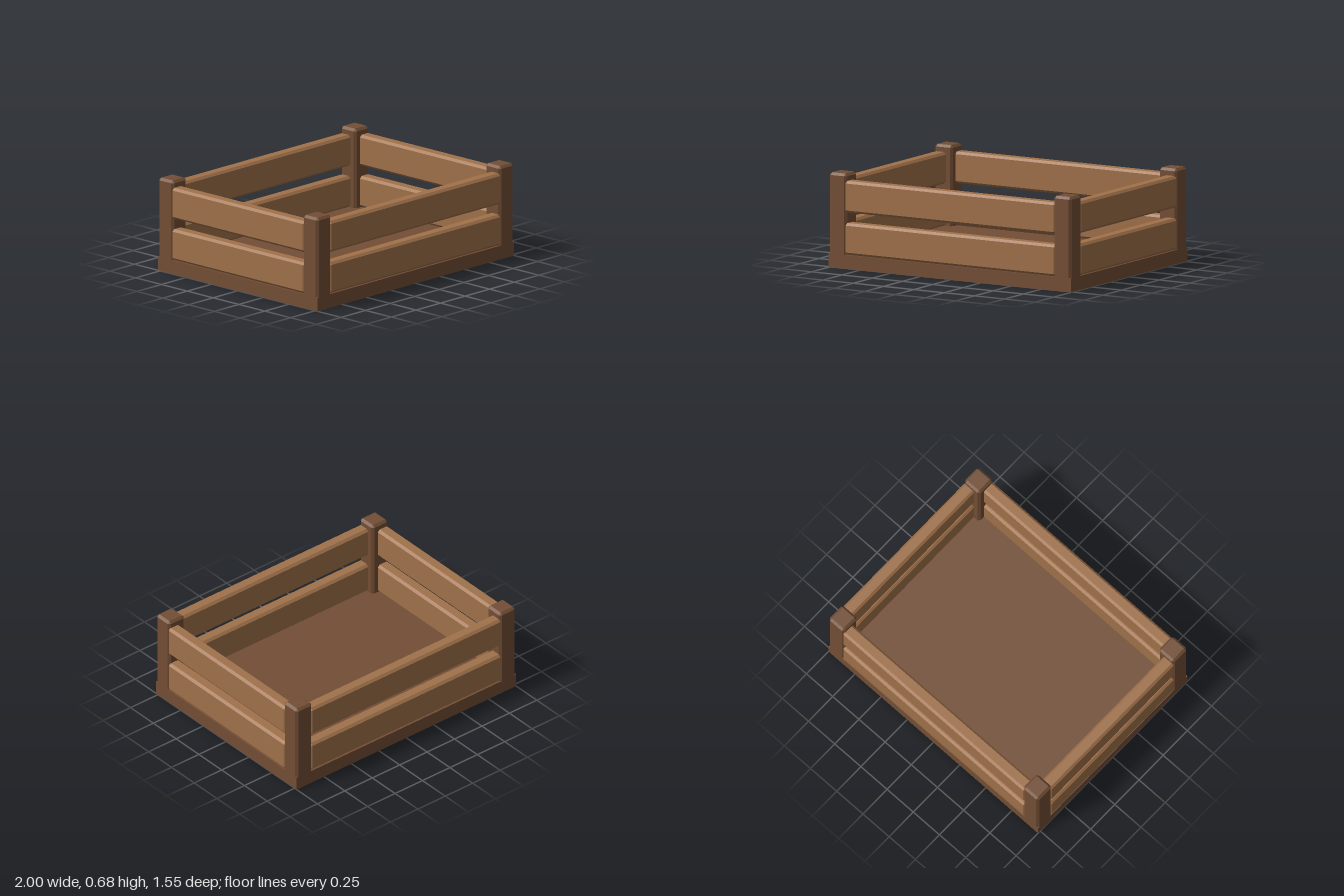
import * as THREE from 'three';
import { ConvexGeometry } from 'three/addons/geometries/ConvexGeometry.js';

const BEVEL = 0.017;

// Box with every edge chamfered, centred on its origin
function chamferedBox(w, h, d, b = BEVEL) {
  const points = [];
  for (const sx of [-1, 1]) for (const sy of [-1, 1]) for (const sz of [-1, 1]) {
    const x = w / 2, y = h / 2, z = d / 2;
    points.push(
      new THREE.Vector3(sx * x, sy * (y - b), sz * (z - b)),
      new THREE.Vector3(sx * (x - b), sy * y, sz * (z - b)),
      new THREE.Vector3(sx * (x - b), sy * (y - b), sz * z)
    );
  }
  return new ConvexGeometry(points);
}

export function createModel() {
  const crate = new THREE.Group();
  crate.name = 'woodenCrate';

  const darkWood = new THREE.MeshStandardMaterial({ color: 0x734e35 });
  darkWood.name = 'darkWood';
  const lightWood = new THREE.MeshStandardMaterial({ color: 0xa0714a });
  lightWood.name = 'lightWood';

  function add(name, geometry, material, x, y, z) {
    const mesh = new THREE.Mesh(geometry, material);
    mesh.name = name;
    mesh.position.set(x, y, z);
    crate.add(mesh);
  }

  const halfX = 1, halfZ = 0.773;
  const post = 0.145, plank = 0.097, plankHeight = 0.225;

  // Solid floor slab
  add('base', new THREE.BoxGeometry(2 * halfX, 0.1, 2 * halfZ), darkWood, 0, 0.05, 0);

  // Corner posts, sunk slightly into the base
  const postBottom = 0.08, postTop = 0.675;
  const postGeometry = chamferedBox(post, postTop - postBottom, post);
  for (const sx of [-1, 1]) for (const sz of [-1, 1]) {
    add('cornerPost', postGeometry, darkWood,
      sx * (halfX - post / 2), (postTop + postBottom) / 2, sz * (halfZ - post / 2));
  }

  // Two planks on each wall, flush with the posts and ending at their chamfers
  const inset = post - BEVEL;
  const longPlank = chamferedBox(2 * (halfX - inset) + 0.004, plankHeight, plank);
  const shortPlank = chamferedBox(plank, plankHeight, 2 * (halfZ - inset) + 0.004);
  for (const bottom of [0.1, 0.4]) {
    const y = bottom + plankHeight / 2;
    for (const s of [-1, 1]) {
      add(s > 0 ? 'frontPlank' : 'backPlank', longPlank, lightWood, 0, y, s * (halfZ - plank / 2));
      add(s > 0 ? 'leftPlank' : 'rightPlank', shortPlank, lightWood, s * (halfX - plank / 2), y, 0);
    }
  }

  return crate;
}
